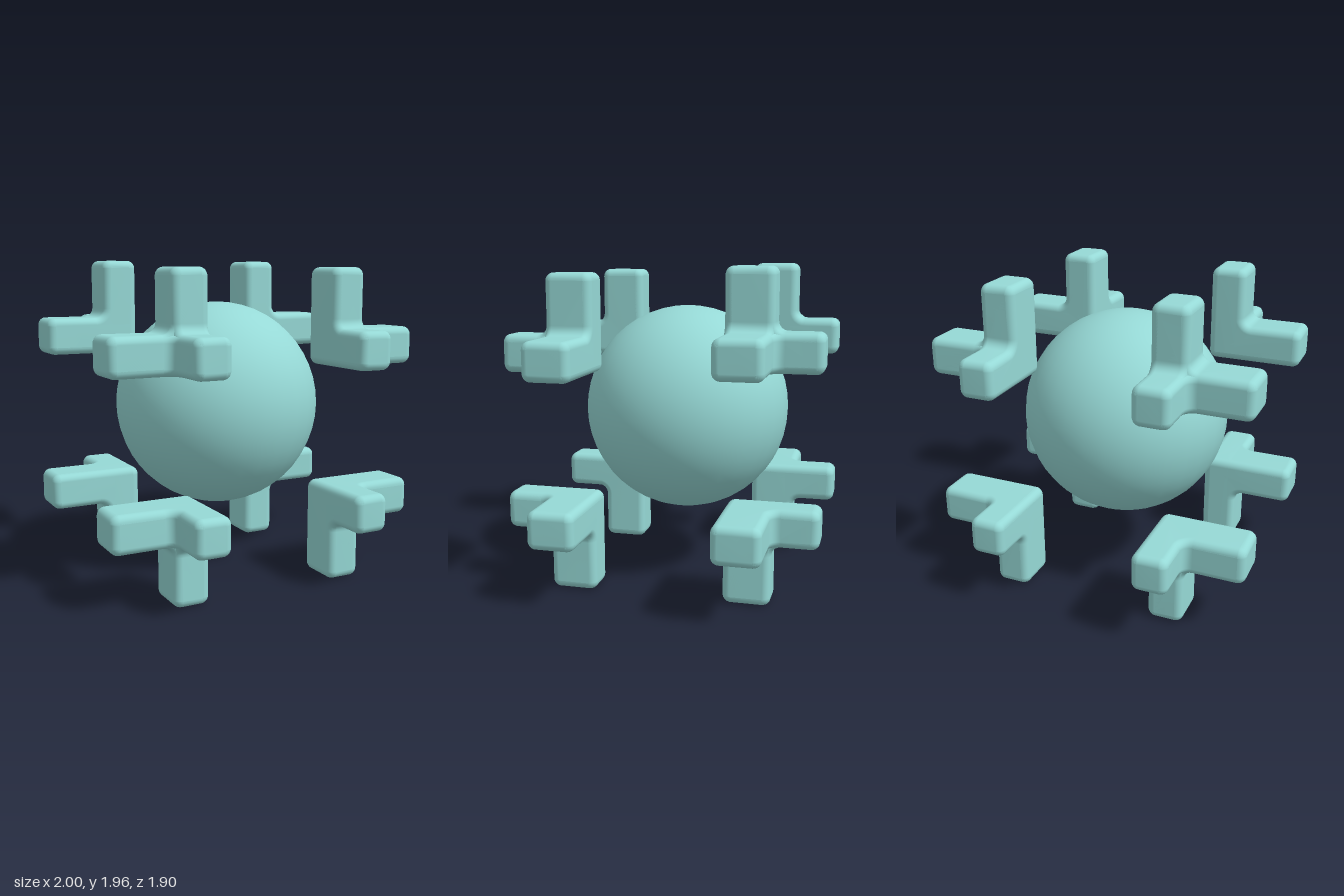
import * as THREE from 'three';
import { mergeVertices } from 'three/addons/utils/BufferGeometryUtils.js';

const BEVEL = 0.045; // rounding of the outer edges
const TIP = 0.006; // corner radius of the inset outline
const FILLET = 0.055; // rounding of the inner corners

// L-shaped outline, inset by the bevel; arms run along +u and +v
function lShape(lenU, lenV, thickU, thickV) {
  const PI = Math.PI;
  const e = BEVEL + TIP;
  const R = FILLET + BEVEL;
  const s = new THREE.Shape();
  s.absarc(e, e, TIP, PI, 1.5 * PI);
  s.absarc(lenU - e, e, TIP, -PI / 2, 0);
  s.absarc(lenU - e, thickV - e, TIP, 0, PI / 2);
  s.absarc(thickU - BEVEL + R, thickV - BEVEL + R, R, 1.5 * PI, PI, true);
  s.absarc(thickU - e, lenV - e, TIP, 0, PI / 2);
  s.absarc(e, lenV - e, TIP, PI / 2, PI);
  return s;
}

// Rounded L block whose u, v, w axes are laid along the given directions
function lBlock(lenU, lenV, thickU, thickV, depth, u, v, w) {
  let g = new THREE.ExtrudeGeometry(lShape(lenU, lenV, thickU, thickV), {
    depth: depth - 2 * BEVEL,
    bevelThickness: BEVEL,
    bevelSize: BEVEL,
    bevelSegments: 6,
    curveSegments: 3,
  });
  g.translate(0, 0, BEVEL);
  g.deleteAttribute('normal');
  g.deleteAttribute('uv');
  g = mergeVertices(g, 1e-5);
  const m = new THREE.Matrix4().makeBasis(u, v, w);
  g.applyMatrix4(m);
  // Mirrored blocks need their faces turned round
  if (m.determinant() < 0) {
    const a = g.index.array;
    for (let i = 0; i < a.length; i += 3) [a[i], a[i + 1]] = [a[i + 1], a[i]];
  }
  g.computeVertexNormals();
  return g;
}

// Three-armed corner: one L block for each pair of arms
function corner(name, sx, sy, sz, material) {
  const len = { x: 0.59, y: 0.59, z: 0.56 };
  const thick = { x: 0.22, y: 0.228, z: 0.283 };
  const dir = {
    x: new THREE.Vector3(sx, 0, 0),
    y: new THREE.Vector3(0, sy, 0),
    z: new THREE.Vector3(0, 0, sz),
  };
  const group = new THREE.Group();
  group.name = name;
  for (const [u, v, w] of ['xyz', 'yzx', 'zxy']) {
    const g = lBlock(len[u], len[v], thick[u], thick[v], thick[w], dir[u], dir[v], dir[w]);
    const mesh = new THREE.Mesh(g, material);
    mesh.name = `${name}Arms${(u + v).toUpperCase()}`;
    group.add(mesh);
  }
  return group;
}

export function createModel() {
  const model = new THREE.Group();
  model.name = 'sphereWithCorners';
  const material = new THREE.MeshStandardMaterial({ color: 0x96d9d6 });

  // Central ball
  const ball = new THREE.Mesh(new THREE.SphereGeometry(0.644, 32, 24), material);
  ball.name = 'ball';
  ball.position.set(-0.012, 1.06, -0.033);
  model.add(ball);

  // Eight corner brackets; the upper back pair sits slightly higher
  for (const sx of [1, -1])
    for (const sy of [1, -1])
      for (const sz of [1, -1]) {
        const name = `${sy > 0 ? 'upper' : 'lower'}${sz > 0 ? 'Front' : 'Back'}${sx > 0 ? 'Left' : 'Right'}Corner`;
        const c = corner(name, sx, sy, sz, material);
        const y = sy < 0 ? 0.592 : sz > 0 ? 1.327 : 1.37;
        c.position.set(sx * 0.41, y, sz * 0.39);
        model.add(c);
      }
  return model;
}
